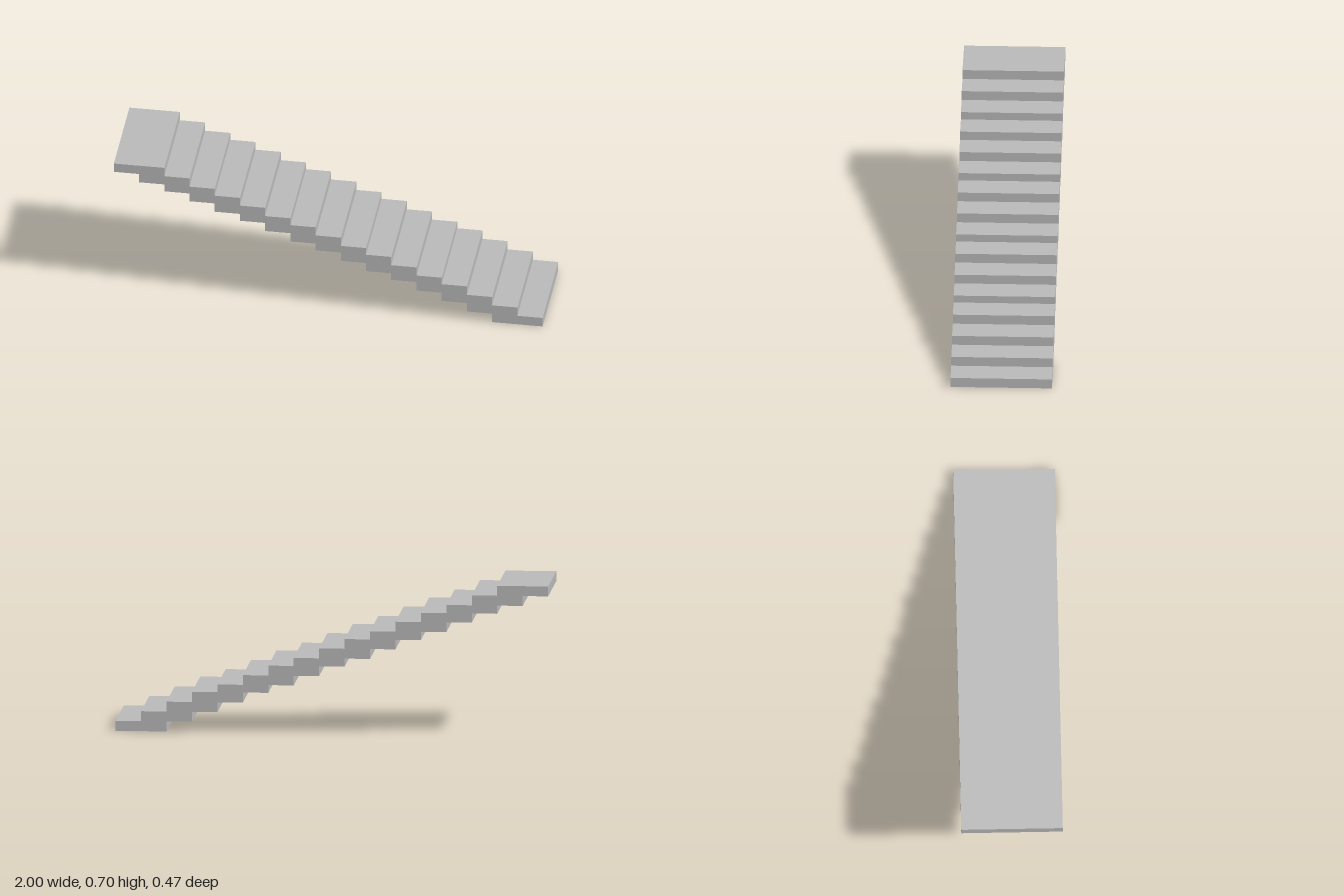
import * as THREE from 'three';

// Heights of the treads from the top landing down to the floor
const levels = [0.698, 0.652, 0.606, 0.568, 0.525, 0.479, 0.441, 0.396, 0.35,
  0.313, 0.267, 0.222, 0.186, 0.139, 0.093, 0.047, 0];
const steps = levels.length - 1;
const going = 2 / (steps + 1);
const depth = 0.468;

export function createModel() {
  const group = new THREE.Group();
  group.name = 'staircase';
  const stone = new THREE.MeshStandardMaterial({ color: 0xb8b8b8 });
  stone.name = 'light grey';

  // Stepped side outline: each step is two goings long and rests on the next one down
  const outline = [];
  for (let i = steps - 1; i >= 0; i--) { // up the treads
    const x = -1 + (i + 2) * going;
    outline.push(new THREE.Vector2(x, levels[i + 1]), new THREE.Vector2(x, levels[i]));
  }
  for (let i = 0; i < steps; i++) { // down the underside
    const x = -1 + i * going;
    outline.push(new THREE.Vector2(x, levels[i]), new THREE.Vector2(x, levels[i + 1]));
  }

  const geometry = new THREE.ExtrudeGeometry(new THREE.Shape(outline), { depth, bevelEnabled: false });
  geometry.translate(0, 0, -depth / 2);
  const flight = new THREE.Mesh(geometry, stone);
  flight.name = 'stairFlight';
  group.add(flight);
  return group;
}
